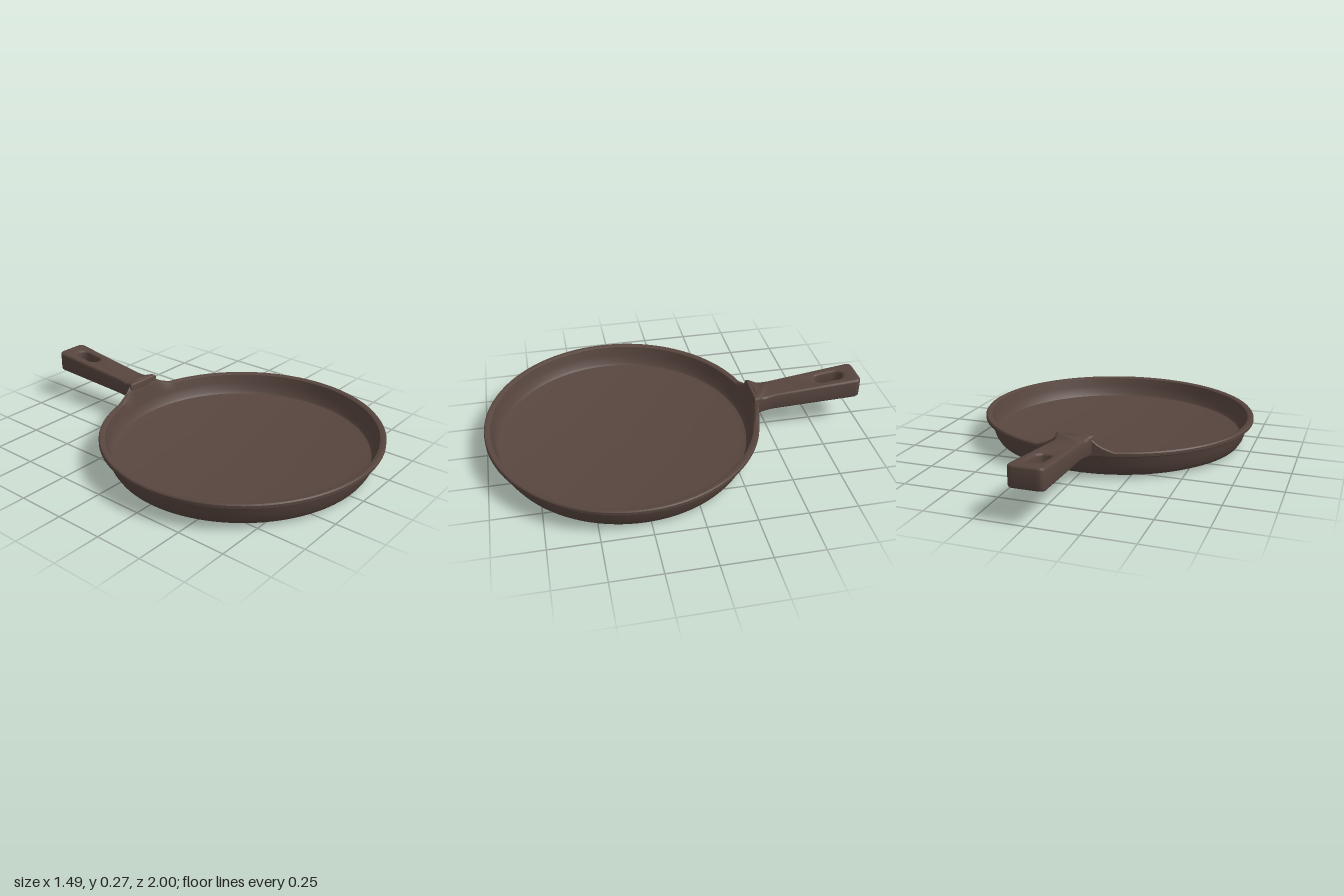
import * as THREE from 'three';
import { toCreasedNormals } from 'three/addons/utils/BufferGeometryUtils.js';

const smooth = THREE.MathUtils.smoothstep;
const lerp = THREE.MathUtils.lerp;

// Height added to the rim where it sweeps up into the handle
function rimRise(x) {
  const steps = [[0, 0.08], [0.075, 0.076], [0.1, 0.052], [0.13, 0.028], [0.2, 0]];
  const a = Math.abs(x);
  for (let i = 1; i < steps.length; i++) {
    const [x0, y0] = steps[i - 1], [x1, y1] = steps[i];
    if (a <= x1) return lerp(y0, y1, (a - x0) / (x1 - x0));
  }
  return 0;
}

// Round shallow dish: underside, outer wall, flanged rim, inner wall, floor
function dishGeometry() {
  const profile = [
    [0, 0.007], [0.6, 0.007], [0.65, 0.012], [0.68, 0.026], [0.695, 0.05],
    [0.708, 0.09], [0.72, 0.134], [0.738, 0.135], [0.745, 0.14], [0.745, 0.155],
    [0.74, 0.161], [0.725, 0.161], [0.713, 0.155], [0.702, 0.11],
    [0.69, 0.065], [0.678, 0.05], [0.655, 0.045], [0, 0.045],
  ].map(([r, y]) => new THREE.Vector2(r, y));
  const geo = new THREE.LatheGeometry(profile, 160);
  const p = geo.attributes.position;
  for (let i = 0; i < p.count; i++) {
    const x = p.getX(i), y = p.getY(i), z = p.getZ(i);
    const r = Math.hypot(x, z);
    if (z < 0 && y > 0.15) p.setY(i, y + rimRise(x) * smooth(r, 0.7, 0.735));
    p.setZ(i, z * 0.96 + 0.285);
  }
  return toCreasedNormals(geo, 0.6);
}

// Tapered grip with a hanging slot, drawn in plan (shape y = distance behind the centre)
function handleGeometry() {
  const bevel = 0.012;
  const s = new THREE.Shape();
  s.moveTo(-0.085, 0.412);
  s.lineTo(0.085, 0.412);
  s.quadraticCurveTo(0.062, 0.46, 0.06, 0.52);
  s.lineTo(0.077, 0.96);
  s.quadraticCurveTo(0.078, 0.983, 0.058, 0.983);
  s.lineTo(-0.058, 0.983);
  s.quadraticCurveTo(-0.078, 0.983, -0.077, 0.96);
  s.lineTo(-0.06, 0.52);
  s.quadraticCurveTo(-0.062, 0.46, -0.085, 0.412);

  const slot = new THREE.Path();
  const r = 0.05;
  slot.absarc(0, 0.88, r, 0, Math.PI, false);
  slot.absarc(0, 0.80, r, Math.PI, Math.PI * 2, false);
  slot.closePath();
  s.holes.push(slot);

  const geo = new THREE.ExtrudeGeometry(s, {
    depth: 1 - 2 * bevel, steps: 1, curveSegments: 14,
    bevelEnabled: true, bevelSize: bevel, bevelThickness: bevel, bevelSegments: 3,
  });
  geo.translate(0, 0, bevel);
  geo.rotateX(-Math.PI / 2);

  // Flatten the unit depth between the rising lower and upper faces
  const p = geo.attributes.position;
  for (let i = 0; i < p.count; i++) {
    const z = p.getZ(i), h = p.getY(i);
    const t = (-z - 0.42) / 0.575;
    const low = lerp(0.135, 0.172, t);
    const high = lerp(0.222, 0.28, t) + 0.018 * (1 - smooth(-z, 0.41, 0.47));
    // keep the bevel round after the depth is scaled
    const edge = Math.min(h, 1 - h);
    const inset = Math.min(edge, bevel);
    const y = h < 0.5 ? low + inset : high - inset;
    p.setXYZ(i, p.getX(i), y, z);
  }
  return toCreasedNormals(geo, 0.7);
}

export function createModel() {
  const iron = new THREE.MeshStandardMaterial({ color: 0x58463f });
  iron.name = 'cast iron brown';

  const group = new THREE.Group();
  group.name = 'skillet';
  const add = (name, geo) => {
    const mesh = new THREE.Mesh(geo, iron);
    mesh.name = name;
    group.add(mesh);
  };
  add('dish', dishGeometry());
  add('handle', handleGeometry());
  return group;
}
